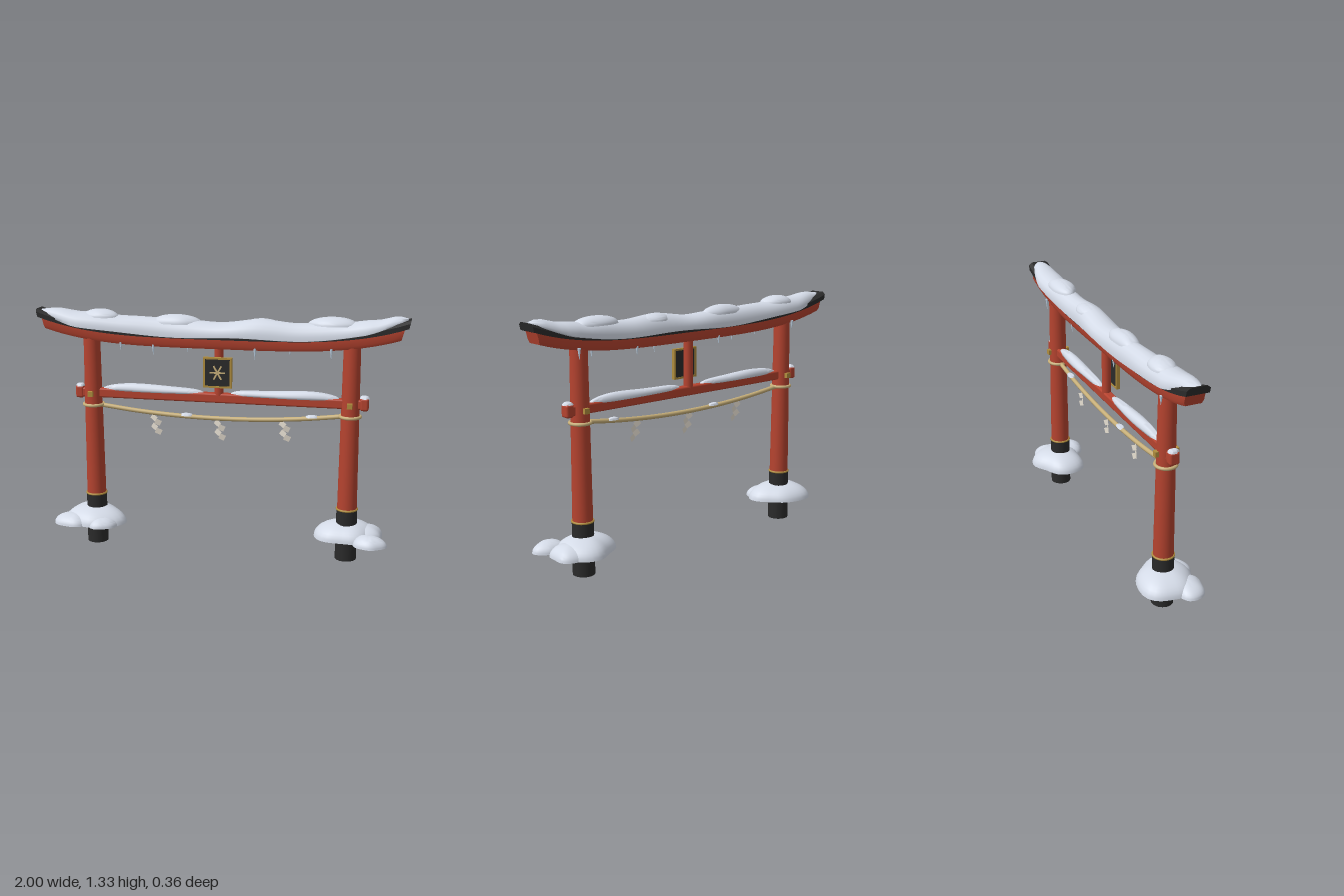
import * as THREE from 'three';
import { toCreasedNormals } from 'three/addons/utils/BufferGeometryUtils.js';
import { RoundedBoxGeometry } from 'three/addons/geometries/RoundedBoxGeometry.js';

const material = (name, color) => {
  const m = new THREE.MeshStandardMaterial({ color });
  m.name = name;
  return m;
};

// Skin between cross-sections (rings of [x, y, z] ordered from +y towards +z) running along +x, capped at both ends.
function loft(rings, crease = 0.7) {
  const n = rings[0].length, pos = rings.flat(2), index = [];
  rings.slice(1).forEach((_, i) => {
    for (let j = 0; j < n; j++) {
      const a = i * n + j, b = i * n + (j + 1) % n;
      index.push(a, b, a + n, b, b + n, a + n);
    }
  });
  for (let j = 1; j < n - 1; j++) {
    const e = (rings.length - 1) * n;
    index.push(0, j + 1, j, e, e + j, e + j + 1);
  }
  const g = new THREE.BufferGeometry();
  g.setAttribute('position', new THREE.Float32BufferAttribute(pos, 3));
  g.setIndex(index);
  return toCreasedNormals(g, crease);
}

// Upward sweep shared by the two top beams
const lift = (x) => 0.095 * Math.pow(Math.abs(x), 3.7);

// Arched beam: section of [y, z] points, ends leaning outwards at the top
function archedBeam(length, lean, section) {
  const rings = [];
  for (let i = 0; i <= 40; i++) {
    const t = i / 20 - 1;
    rings.push(section.map(([y, z]) => {
      const x = t * (length + lean * (y - section[0][0]));
      return [x, y + lift(x), z];
    }));
  }
  return loft(rings, 0.5);
}

// Long drift of snow: base, top and half-width are functions of x
function snowRidge(x0, x1, base, top, half, drift = () => 0) {
  const rings = [], n = 18, steps = 56;
  for (let i = 0; i <= steps; i++) {
    const x = x0 + (x1 - x0) * i / steps, ring = [];
    for (let j = 0; j < n; j++) {
      const a = (j / n) * Math.PI * 2, c = Math.cos(a);
      const y = c > 0 ? base(x) + (top(x) - base(x)) * Math.pow(c, 0.8) : base(x) + 0.008 * c;
      ring.push([x, y, drift(x) + half(x) * Math.sin(a)]);
    }
    rings.push(ring);
  }
  return loft(rings, 1.2);
}

// Flat-bottomed irregular mound of snow
function mound(rx, h, rz, seed, wobble = 0.08) {
  const g = new THREE.SphereGeometry(1, 32, 20), p = g.attributes.position;
  for (let i = 0; i < p.count; i++) {
    const x = p.getX(i), y = p.getY(i), z = p.getZ(i), a = Math.atan2(z, x);
    const r = 1 + wobble * (Math.sin(2 * a + seed) + 0.6 * Math.sin(3 * a + 2 * seed) + 0.4 * Math.sin(5 * a + seed));
    p.setXYZ(i, x * r * rx, Math.max(y, 0) * h, z * r * rz);
  }
  return toCreasedNormals(g, 1.0);
}

// Smooth height curve through [x, value] points
function curveThrough(points) {
  return (x) => {
    let i = 0;
    while (i < points.length - 2 && x > points[i + 1][0]) i++;
    const [a, b] = [points[i], points[i + 1]];
    return THREE.MathUtils.lerp(a[1], b[1], THREE.MathUtils.smoothstep(x, a[0], b[0]));
  };
}

export function createModel() {
  const red = material('vermilion paint', 0xb5432f);
  const black = material('black lacquer', 0x2a2a2a);
  const snow = material('snow', 0xdfe6f3);
  const gold = material('brass', 0xb08d3e);
  const straw = material('straw rope', 0xc8b07a);
  const paper = material('paper', 0xf3ebdd);
  paper.side = THREE.DoubleSide;
  const ice = material('ice', 0xc3d6e8);

  const model = new THREE.Group();
  model.name = 'snowyGate';
  const gate = new THREE.Group();
  gate.name = 'gate';
  gate.position.z = -0.015;
  model.add(gate);
  const add = (name, geometry, mat, x = 0, y = 0, z = 0, parent = gate) => {
    const m = new THREE.Mesh(geometry, mat);
    m.name = name;
    m.position.set(x, y, z);
    parent.add(m);
    return m;
  };

  // Pillars with sleeves, bands and tie beam ends
  for (const s of [-1, 1]) {
    const side = s > 0 ? 'left' : 'right', x = s * 0.705;
    add(side + 'Sleeve', new THREE.CylinderGeometry(0.056, 0.058, 0.285, 32), black, x, 0.1425);
    add(side + 'Pillar', new THREE.CylinderGeometry(0.045, 0.053, 0.89, 32), red, x, 0.725);
    add(side + 'Band', new THREE.TorusGeometry(0.054, 0.006, 8, 32).rotateX(Math.PI / 2), gold, x, 0.285);
    add(side + 'RopeLoop', new THREE.TorusGeometry(0.053, 0.009, 8, 32).rotateX(Math.PI / 2), straw, x, 0.798);
    add(side + 'BeamEnd', new RoundedBoxGeometry(0.045, 0.068, 0.054, 3, 0.012), red, s * 0.778, 0.868);
    add(side + 'BeamEndSnow', mound(0.025, 0.016, 0.028, s), snow, s * 0.778, 0.898);
    for (const z of [-0.055, 0.055])
      add(side + 'Peg', new THREE.BoxGeometry(0.028, 0.028, 0.018), gold, x, 0.865, z);
  }

  // Tie beam and centre post
  add('tieBeam', new RoundedBoxGeometry(1.58, 0.052, 0.046, 3, 0.01), red, 0, 0.866);
  add('centrePost', new THREE.CylinderGeometry(0.025, 0.025, 0.28, 20), red, 0, 1.02);

  // Curved top beams
  add('lowerLintel', archedBeam(0.97, 0.3, [[1.192, -0.05], [1.192, 0.05], [1.155, 0.05], [1.138, 0.042], [1.138, -0.042], [1.155, -0.05]]), red);
  add('upperLintel', archedBeam(1, 0.25, [[1.228, -0.042], [1.228, 0.042], [1.215, 0.06], [1.19, 0.06], [1.19, -0.06], [1.215, -0.06]]), black);

  // Snow along the top, narrowing to a tip at each end
  const roofTop = curveThrough([[-0.98, 1.318], [-0.9, 1.327], [-0.75, 1.31], [-0.5, 1.295], [-0.2, 1.286], [0, 1.275],
    [0.23, 1.3], [0.42, 1.285], [0.65, 1.295], [0.82, 1.312], [0.94, 1.335], [0.985, 1.325]]);
  const tip = (x) => THREE.MathUtils.clamp((0.985 - Math.abs(x)) / 0.2, 0, 1);
  const roofBase = (x) => 1.202 + lift(x) + 0.025 * (1 - tip(x)) + 0.006 * Math.sin(9 * x + 0.6);
  const roofHalf = (x) => 0.012 + (0.063 + 0.006 * Math.sin(8 * x + 1)) * Math.sqrt(tip(x));
  add('roofSnow', snowRidge(-0.98, 0.985, roofBase, roofTop, roofHalf, (x) => 0.005 * Math.sin(5 * x)), snow);
  [[-0.65, 1.285, 0.1, 0.042, 0.066], [-0.23, 1.262, 0.13, 0.048, 0.062], [0.23, 1.265, 0.1, 0.037, 0.058], [0.605, 1.278, 0.135, 0.044, 0.064]]
    .forEach(([x, y, rx, h, rz], i) => add('roofSnowLump', mound(rx, h, rz, i * 1.7, 0.05), snow, x, y, -0.004));

  // Snow on the tie beam
  const fade = (x, a, b) => Math.pow(Math.max(0, 1 - Math.pow(Math.abs((2 * x - a - b) / (b - a)), 4)), 0.6);
  for (const [a, b, ph] of [[-0.65, -0.08, 0.5], [0.06, 0.65, 2.2]]) {
    const f = (x) => fade(x, a, b);
    add('tieBeamSnow', snowRidge(a, b, () => 0.886, (x) => 0.888 + f(x) * (0.031 + 0.005 * Math.sin(11 * x + ph)),
      (x) => 0.004 + f(x) * (0.026 + 0.003 * Math.sin(14 * x + ph))), snow);
  }

  // Snow mounds around the pillar feet
  [[-0.715, 0, 0.17, 0.09, 0.155, 0.4], [-0.815, 0.075, 0.105, 0.055, 0.09, 2], [-0.64, 0.09, 0.085, 0.05, 0.075, 4],
    [0.7, -0.02, 0.16, 0.09, 0.15, 2.6], [0.835, 0.11, 0.085, 0.055, 0.075, 1], [0.8, -0.03, 0.11, 0.065, 0.1, 5]]
    .forEach(([x, z, rx, h, rz, s]) => add('footSnow', mound(rx, h, rz, s), snow, x, 0.125, z + 0.005));

  // Icicles under the lintel
  [[-0.53, 0.04], [-0.35, 0.04], [-0.18, -0.04], [0.2, 0.04], [0.375, -0.04], [0.6, 0.04], [-0.735, -0.05], [0.735, -0.05]]
    .forEach(([x, z], i) => {
      const h = 0.05 + 0.012 * (i % 2);
      add('icicle', new THREE.ConeGeometry(0.009, h, 8).rotateX(Math.PI), ice, x, 1.15 + lift(x) - h / 2, z);
    });

  // Sagging rope with patches of snow
  const sag = (x) => 0.75 + 0.045 * (x / 0.66) ** 2;
  const ropePath = new THREE.CatmullRomCurve3([-0.67, -0.45, -0.22, 0, 0.22, 0.45, 0.67].map((x) => new THREE.Vector3(x, sag(x), 0)));
  add('rope', new THREE.TubeGeometry(ropePath, 48, 0.012, 10), straw);
  for (const x of [-0.18, 0.505])
    add('ropeSnow', mound(0.04, 0.015, 0.017, x * 9), snow, x, sag(x) + 0.004);

  // Zigzag paper streamers
  for (const x of [-0.355, 0, 0.355]) {
    const streamer = new THREE.Group();
    streamer.name = 'paperStreamer';
    streamer.position.set(x, sag(x) - 0.012, 0.002);
    gate.add(streamer);
    for (let i = 0; i < 4; i++) {
      const leaf = add('paperFold', new THREE.PlaneGeometry(0.034, 0.03), paper, (i % 2 ? 0.013 : -0.008) + i * 0.002, -0.014 - i * 0.025, i * 0.002, streamer);
      leaf.rotation.z = i % 2 ? -0.45 : -0.6;
      leaf.rotation.y = i % 2 ? 0.25 : -0.25;
    }
  }

  // Framed plaque with a six-armed star
  const plaque = new THREE.Group();
  plaque.name = 'plaque';
  plaque.position.set(0, 1.01, 0.033);
  gate.add(plaque);
  add('plaquePanel', new THREE.BoxGeometry(0.14, 0.15, 0.014), black, 0, 0, 0, plaque);
  for (const s of [-1, 1]) {
    add('frameSide', new THREE.BoxGeometry(0.01, 0.164, 0.02), gold, s * 0.072, 0, 0, plaque);
    add('frameRail', new THREE.BoxGeometry(0.154, 0.01, 0.02), gold, 0, s * 0.077, 0, plaque);
  }
  for (let i = 0; i < 3; i++)
    add('starArm', new THREE.BoxGeometry(0.009, 0.084, 0.004), straw, 0, 0, 0.008 + i * 0.0005, plaque).rotation.z = Math.PI / 2 + i * Math.PI / 3;

  return model;
}
